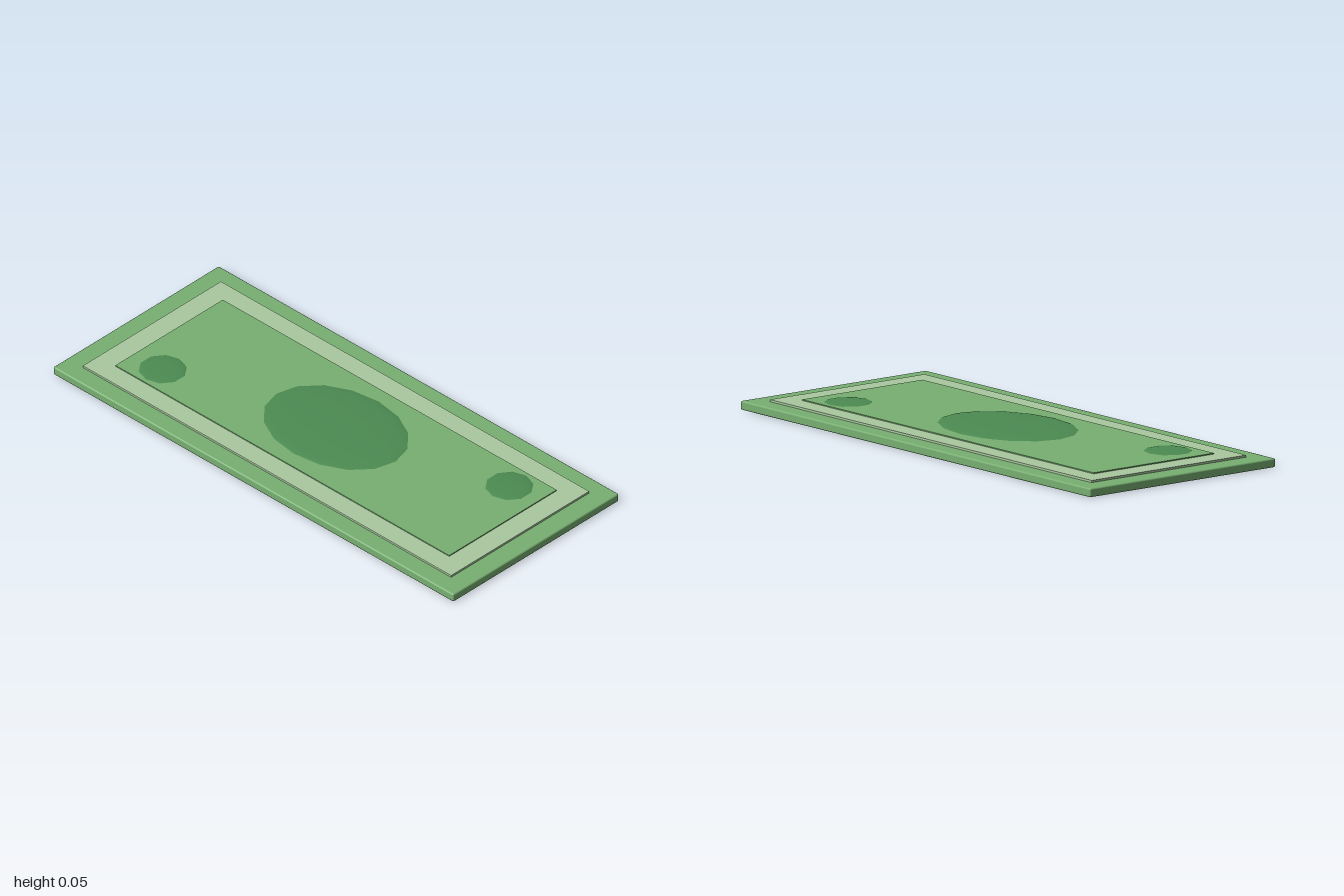
import * as THREE from 'three';
import { RoundedBoxGeometry } from 'three/addons/geometries/RoundedBoxGeometry.js';

const flat = (name, color) => new THREE.MeshStandardMaterial({ name, color });

export function createModel() {
  const group = new THREE.Group();
  const green = flat('noteGreen', 0x78b072);
  const pale = flat('paleGreen', 0xa9c9a0);
  const dark = flat('darkGreen', 0x4c8b52);

  const add = (name, geometry, material, x, y, z) => {
    const mesh = new THREE.Mesh(geometry, material);
    mesh.name = name;
    mesh.position.set(x, y, z);
    group.add(mesh);
    return mesh;
  };

  // Slab with softly rounded edges
  add('noteBase', new RoundedBoxGeometry(2, 0.033, 0.857, 2, 0.006), green, 0, 0.0165, 0);

  // Pale border plate with the green centre panel stepped on top of it
  add('paleBorder', new THREE.BoxGeometry(1.84, 0.01, 0.714), pale, 0, 0.036, 0);
  add('centrePanel', new THREE.BoxGeometry(1.668, 0.008, 0.556), green, 0, 0.041, 0);

  // Shallow domes: a quarter-ellipse profile turned about y, then stretched
  const addDome = (name, sides, rx, rz, height, x, z) => {
    const profile = [];
    for (let i = 0; i <= 6; i++) {
      const a = (i / 6) * Math.PI / 2;
      profile.push(new THREE.Vector2(i === 6 ? 0 : Math.cos(a), Math.sin(a)));
    }
    const dome = new THREE.LatheGeometry(profile, sides);
    dome.scale(rx, height, rz);
    add(name, dome, dark, x, 0.0445, z);
  };
  addDome('portraitOval', 16, 0.3, 0.222, 0.009, 0, 0);
  addDome('cornerSealFront', 10, 0.09, 0.088, 0.0055, -0.695, 0.177);
  addDome('cornerSealBack', 10, 0.09, 0.088, 0.0055, 0.695, -0.177);

  return group;
}
